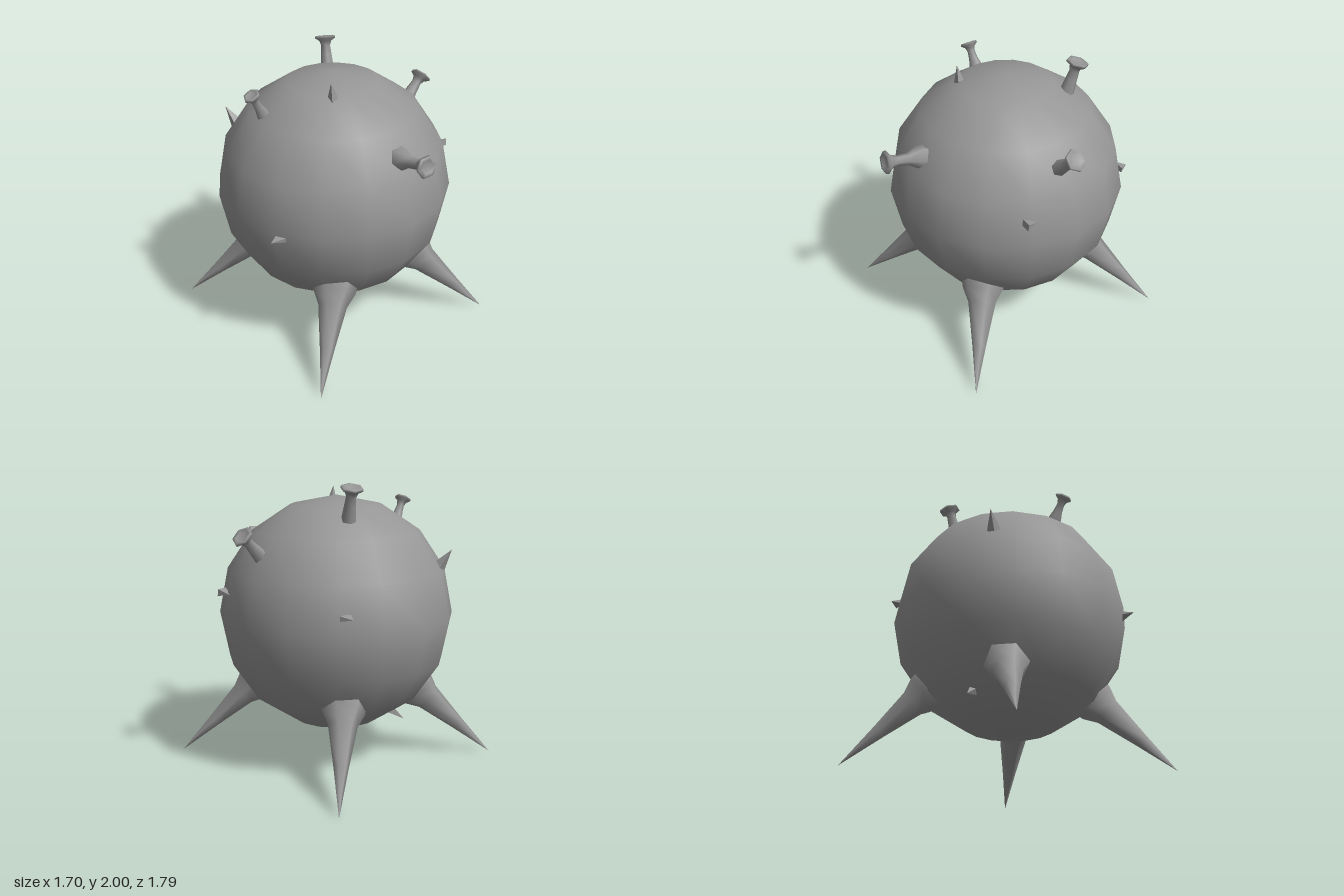
import * as THREE from 'three';

const smooth = new THREE.MeshStandardMaterial({ color: 0x969696, side: THREE.DoubleSide });
const faceted = new THREE.MeshStandardMaterial({ color: 0x969696, flatShading: true });
const UP = new THREE.Vector3(0, 1, 0);
const CENTRE = new THREE.Vector3(-0.015, 1.07, -0.055);

// Stands a mesh on `base`, with its +y axis pointing at `tip`
function aim(geometry, material, name, base, tip) {
  const mesh = new THREE.Mesh(geometry, material);
  mesh.name = name;
  mesh.position.copy(base);
  mesh.quaternion.setFromUnitVectors(UP, tip.clone().sub(base).normalize());
  return mesh;
}

// Six-sided turned shape from [radius, height] pairs
function turned(profile) {
  const points = profile.map(([r, y]) => new THREE.Vector2(r, y));
  return new THREE.LatheGeometry(points, 6, Math.PI / 2);
}

export function createModel() {
  const model = new THREE.Group();
  model.name = 'spikyBall';

  // Round body
  const body = new THREE.Mesh(new THREE.SphereGeometry(0.833, 16, 8), smooth);
  body.name = 'body';
  body.position.copy(CENTRE);
  model.add(body);

  // Four long pointed legs, flared where they meet the body
  for (const sx of [-1, 1]) {
    for (const sz of [-1, 1]) {
      const base = CENTRE.clone().add(new THREE.Vector3(sx * 0.345, -0.505, sz * 0.425 + 0.01));
      const tip = CENTRE.clone().add(new THREE.Vector3(sx * 0.797, -1.06, sz * 0.815));
      const h = base.distanceTo(tip);
      const leg = turned([[0.16, 0], [0.148, 0.08], [0.1, 0.18], [0.05, 0.48], [0, h]]);
      const name = (sz > 0 ? 'front' : 'back') + (sx > 0 ? 'Left' : 'Right') + 'Leg';
      model.add(aim(leg, smooth, name, base, tip));
    }
  }

  // Stalks with a waist and a shallow dished end: base, tip, base radius, cup radius
  const stalks = [
    [[-0.015, 1.49, 0.59], [-0.035, 1.545, 0.885], 0.085, 0.077],
    [[-0.52, 1.67, -0.16], [-0.62, 1.855, -0.155], 0.05, 0.06],
    [[0.215, 1.76, -0.395], [0.245, 1.985, -0.455], 0.052, 0.078],
    [[0.63, 1.52, 0], [0.8, 1.68, -0.01], 0.055, 0.077],
  ];
  for (const [b, t, foot, cup] of stalks) {
    const base = new THREE.Vector3(...b);
    const tip = new THREE.Vector3(...t);
    const h = base.distanceTo(tip);
    const stalk = turned([
      [foot, 0], [foot * 0.9, h * 0.2], [cup * 0.52, h * 0.45], [cup * 0.44, h * 0.7],
      [cup * 0.58, h * 0.84], [cup, h * 0.93], [cup * 0.96, h], [cup * 0.62, h], [cup * 0.56, h * 0.95], [0, h * 0.95],
    ]);
    model.add(aim(stalk, smooth, 'stalk', base, tip));
  }

  // Small four-sided thorns: base, tip, two half widths
  const thorns = [
    [[-0.21, 1.79, 0.185], [-0.235, 1.945, 0.19], 0.036, 0.033],
    [[0.722, 1.262, 0.315], [0.725, 1.25, 0.215], 0.034, 0.024],
    [[0.51, 1.2, -0.655], [0.515, 1.195, -0.73], 0.045, 0.018],
    [[-0.73, 1.03, 0.285], [-0.84, 1.035, 0.305], 0.019, 0.042],
    [[-0.42, 1.42, -0.66], [-0.46, 1.54, -0.735], 0.033, 0.033],
    [[-0.105, 0.42, -0.5], [-0.145, 0.36, -0.6], 0.028, 0.028],
  ];
  for (const [b, t, wx, wz] of thorns) {
    const base = new THREE.Vector3(...b);
    const tip = new THREE.Vector3(...t);
    const h = base.distanceTo(tip);
    const thorn = new THREE.ConeGeometry(Math.SQRT2, h, 4, 1, false, Math.PI / 4);
    thorn.translate(0, h / 2, 0).scale(wx, 1, wz);
    model.add(aim(thorn, faceted, 'thorn', base, tip));
  }

  return model;
}
